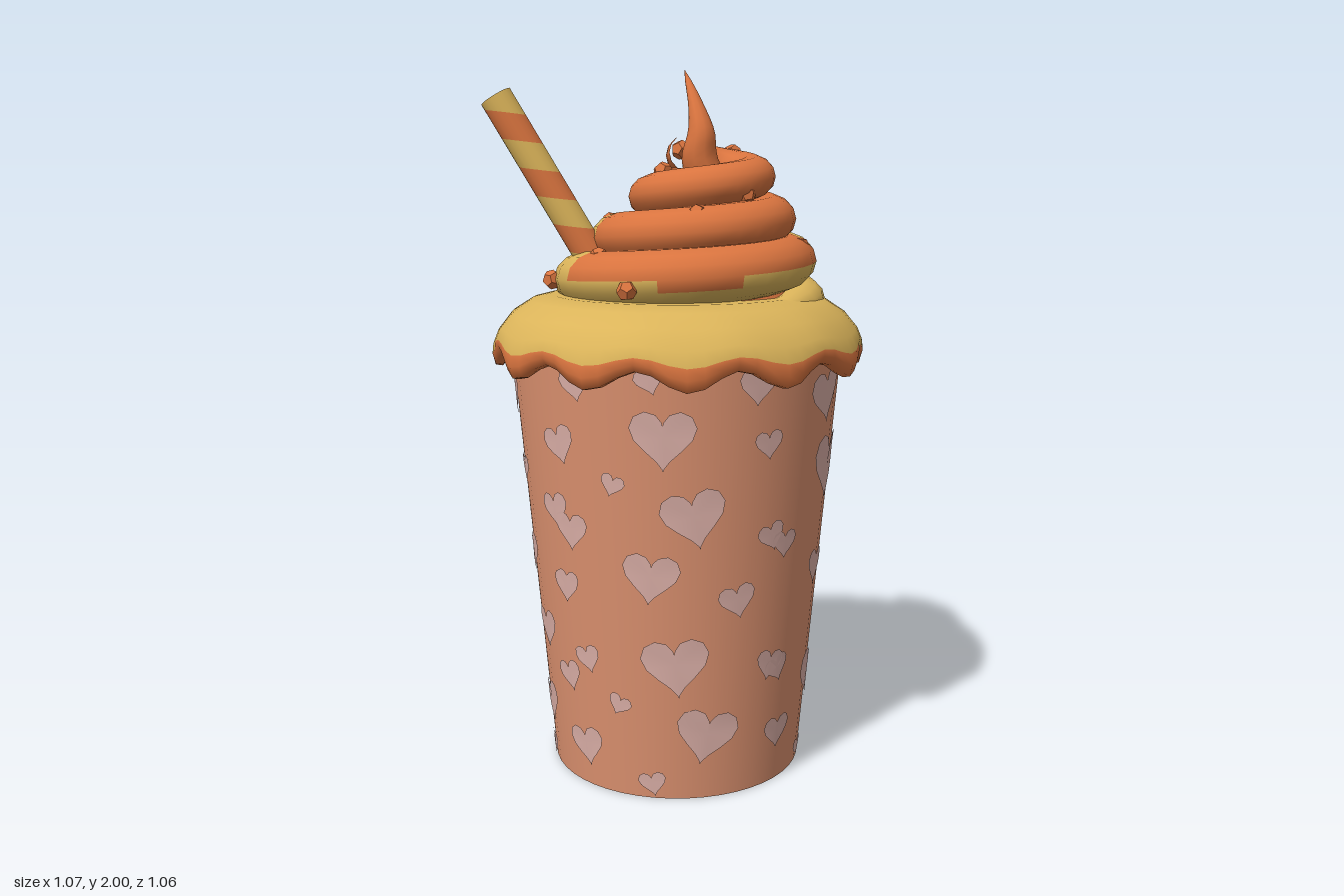
import * as THREE from 'three';
import { mergeGeometries } from 'three/addons/utils/BufferGeometryUtils.js';

const mat = (name, color) => {
  const m = new THREE.MeshStandardMaterial({ color });
  m.name = name;
  return m;
};

// Tube-like surface: rows of closed rings; faces where second(i, j) is true use the second material.
function ringSurface(rows, cols, pos, second = () => false) {
  const points = [], first = [], other = [];
  for (let i = 0; i < rows; i++)
    for (let j = 0; j < cols; j++) points.push(...pos(i, (j / cols) * Math.PI * 2));
  for (let i = 0; i < rows - 1; i++)
    for (let j = 0; j < cols; j++) {
      const k = (j + 1) % cols;
      const a = i * cols + j, b = a + cols, c = (i + 1) * cols + k, d = i * cols + k;
      (second(i, ((j + 0.5) / cols) * Math.PI * 2) ? other : first).push(a, b, c, a, c, d);
    }
  const g = new THREE.BufferGeometry();
  g.setAttribute('position', new THREE.Float32BufferAttribute(points, 3));
  g.setIndex([...first, ...other]);
  g.addGroup(0, first.length, 0);
  g.addGroup(first.length, other.length, 1);
  g.computeVertexNormals();
  return g;
}

const cupRadius = (y) => 0.365 + (0.108 * y) / 1.24;

// Heart wrapped onto the cup: u, v seen from the side given by yaw.
function heart(yaw, u, v, width, tilt) {
  const n = 20, pts = [[0, 0]], index = [], out = [];
  for (let i = 0; i < n; i++) {
    const t = (-i / n) * Math.PI * 2;
    pts.push([16 * Math.sin(t) ** 3,
      13 * Math.cos(t) - 5 * Math.cos(2 * t) - 2 * Math.cos(3 * t) - Math.cos(4 * t)]);
    index.push(0, 1 + i, 1 + ((i + 1) % n));
  }
  const mid = yaw + Math.asin(u / cupRadius(v)), s = width / 32;
  for (const [px, py] of pts) {
    const x = s * (px * Math.cos(tilt) - py * Math.sin(tilt));
    const y = Math.max(0.005, v + s * (px * Math.sin(tilt) + py * Math.cos(tilt)));
    const r = cupRadius(y) + 0.004, a = mid + x / r;
    out.push(r * Math.sin(a), y, r * Math.cos(a));
  }
  const g = new THREE.BufferGeometry();
  g.setAttribute('position', new THREE.Float32BufferAttribute(out, 3));
  g.setIndex(index);
  g.computeVertexNormals();
  return g;
}

export function createModel() {
  const group = new THREE.Group();
  const cupMat = mat('peach cup', 0xdd9270);
  const heartMat = mat('pale pink', 0xdcb0a8);
  const cream = mat('yellow cream', 0xdbb45a);
  const caramel = mat('orange caramel', 0xd9743f);
  const add = (name, geometry, material) => {
    const m = new THREE.Mesh(geometry, material);
    m.name = name;
    group.add(m);
    return m;
  };

  // Tapered cup
  add('cup', new THREE.CylinderGeometry(cupRadius(1.24), 0.365, 1.24, 48), cupMat).position.y = 0.62;

  // Hearts: [across, height, width, tilt] for two sides, repeated on the opposite sides
  const sideA = [[-0.015, 1.05, 0.18, 0], [-0.25, 1.18, 0.1, 0.2], [0.26, 1.02, 0.09, 0.1], [0.065, 0.835, 0.18, 0.2],
    [-0.15, 0.915, 0.07, -0.3], [-0.27, 0.77, 0.12, 0], [-0.05, 0.665, 0.16, -0.1], [0.27, 0.76, 0.09, 0.3],
    [0.18, 0.59, 0.11, 0.2], [-0.285, 0.61, 0.09, 0], [0.015, 0.41, 0.19, 0.1], [-0.23, 0.4, 0.09, 0.3],
    [-0.14, 0.28, 0.07, -0.4], [0.1, 0.2, 0.18, -0.2], [-0.24, 0.13, 0.13, 0.2], [0.29, 0.16, 0.08, 0],
    [-0.05, 0.05, 0.08, 0.2], [0.23, 1.18, 0.11, 0], [-0.05, 1.2, 0.08, 0.3], [0.27, 0.38, 0.1, -0.2]];
  const sideB = [[-0.2, 1.13, 0.17, 0.2], [0.1, 1.11, 0.14, 0.2], [-0.12, 0.92, 0.22, 0], [0.34, 1.01, 0.12, 0.3],
    [0.14, 0.9, 0.09, 0], [0.11, 0.65, 0.14, 0.1], [-0.13, 0.62, 0.12, -0.1], [0.3, 0.82, 0.11, 0.2],
    [0.3, 0.6, 0.1, 0], [0.18, 0.44, 0.13, 0.1], [-0.05, 0.28, 0.2, 0.1], [-0.27, 0.36, 0.09, 0.3],
    [-0.24, 0.16, 0.11, 0], [0.13, 0.2, 0.14, 0.2], [0.27, 0.33, 0.1, 0.3], [-0.3, 0.73, 0.09, 0],
    [0.1, 0.05, 0.09, 0], [0.01, 0.76, 0.06, 0.4], [-0.02, 0.5, 0.06, 0], [-0.1, 0.05, 0.07, 0.2]];
  const hearts = [];
  for (const turn of [0, Math.PI]) {
    sideA.forEach((h) => hearts.push(heart(turn, ...h)));
    sideB.forEach((h) => hearts.push(heart(turn + Math.PI / 2, ...h)));
  }
  add('hearts', mergeGeometries(hearts), heartMat);

  // Scalloped cream collar, its front hem dipped in caramel: [radius, height, scallop amount]
  const hem = [[0.02, 1.385, 0], [0.36, 1.38, 0], [0.42, 1.365, 0], [0.475, 1.33, 0.1], [0.512, 1.285, 0.25],
    [0.526, 1.25, 0.5], [0.528, 1.225, 0.75], [0.518, 1.2, 1], [0.497, 1.197, 1], [0.474, 1.225, 0.7], [0.46, 1.25, 0]];
  add('creamCollar', ringSurface(hem.length, 72, (i, a) => {
    const [r, y, k] = hem[i], wave = Math.cos(12 * (a - 0.1));
    const rr = r + 0.008 * k * wave;
    return [0.004 + rr * Math.sin(a), y - 0.026 * k * wave, rr * Math.cos(a)];
  }, (i, a) => i >= (Math.cos(a) > 0.3 ? 5 : 6) && Math.cos(a) > -0.15), [cream, caramel]);

  // Whipped swirl: a flattened tube spiralling up and inwards, q counts quarter turns
  const steps = 112, qAt = (i) => -0.6 + (14.8 * i) / (steps - 1);
  add('swirl', ringSurface(steps, 14, (i, p) => {
    const q = qAt(i), t = (q * Math.PI) / 2;
    const ends = Math.sqrt(Math.min(1, Math.max(0.001, (q + 0.6) / 1.2)));
    const wide = (0.105 - 0.0032 * q) * ends, high = (0.084 - 0.0022 * q) * ends;
    const r = 0.43 - 0.0208 * q - (0.105 - 0.0032 * q) + wide * Math.cos(p);
    return [0.025 + 0.006 * q + r * Math.cos(t), 1.36 + 0.029 * q + high * Math.sin(p), 0.001 * q - r * Math.sin(t)];
  }, (i, p) => {
    const q = qAt(i);
    return q > 6.2 || (q > 2.2 && q < 3.9 && Math.sin(p) > -0.3 + 0.3 * Math.abs(q - 3));
  }), [cream, caramel]);
  const core = add('swirlCore', new THREE.CylinderGeometry(0.07, 0.3, 0.38, 24), caramel);
  core.position.set(0.055, 1.54, 0);

  // Curled peak
  const path = new THREE.CatmullRomCurve3([[0.09, 1.69, 0.02], [0.065, 1.76, 0.04], [0.07, 1.83, 0.05],
    [0.055, 1.9, 0.03], [0.02, 2, -0.025]].map((p) => new THREE.Vector3(...p)));
  add('peak', ringSurface(14, 10, (i, p) => {
    const t = i / 13, c = path.getPoint(t), r = 0.062 * Math.pow(1 - t, 0.75);
    return [c.x + r * Math.cos(p), c.y, c.z - r * Math.sin(p)];
  }).scale(1, 1, 1), [caramel, caramel]).geometry.index.array.reverse();
  const peak = group.getObjectByName('peak').geometry;
  peak.computeVertexNormals();

  // Hollow striped straw: rows of [distance down, radius, stripe slant]
  const dir = [0.511, -0.86], length = 0.62;
  const rows = [[length, 0.036, 0], [0, 0.036, 0], [0, 0.036, 0], [0, 0.046, 0], [0, 0.046, 0]];
  for (let s = 0.05; s < length; s += 0.09) rows.push([s, 0.046, 0.035]);
  rows.push([length, 0.046, 0]);
  add('straw', ringSurface(rows.length, 18, (i, p) => {
    const [s, r, slant] = rows[i];
    const d = Math.max(0, s + slant * Math.cos(p)), n = r * Math.cos(p);
    return [-0.497 + dir[0] * d - dir[1] * n, 1.923 + dir[1] * d + dir[0] * n, 0.066 - r * Math.sin(p)];
  }, (i) => i === 0 || (i > 4 && i % 2 === 1)), [cream, caramel]);

  // Caramel crumbs
  const crumb = new THREE.DodecahedronGeometry(0.028);
  [[-0.1, 1.41, -0.36], [0.2, 1.41, -0.35], [-0.235, 1.5, -0.16], [0.11, 1.58, -0.235], [0.1, 1.7, -0.195],
    [0.155, 1.77, -0.1], [-0.185, 1.58, 0.015], [-0.035, 1.72, 0.065], [0.01, 1.78, -0.015], [0.345, 1.515, 0.05],
    [0.195, 1.66, 0.14], [0.065, 1.61, 0.23], [-0.205, 1.49, 0.17], [-0.115, 1.415, 0.345], [-0.35, 1.42, 0.06]]
    .forEach((p, i) => {
      const c = add('crumb', crumb, caramel);
      c.position.set(...p);
      c.rotation.set(i, i * 1.7, 0);
    });
  return group;
}
